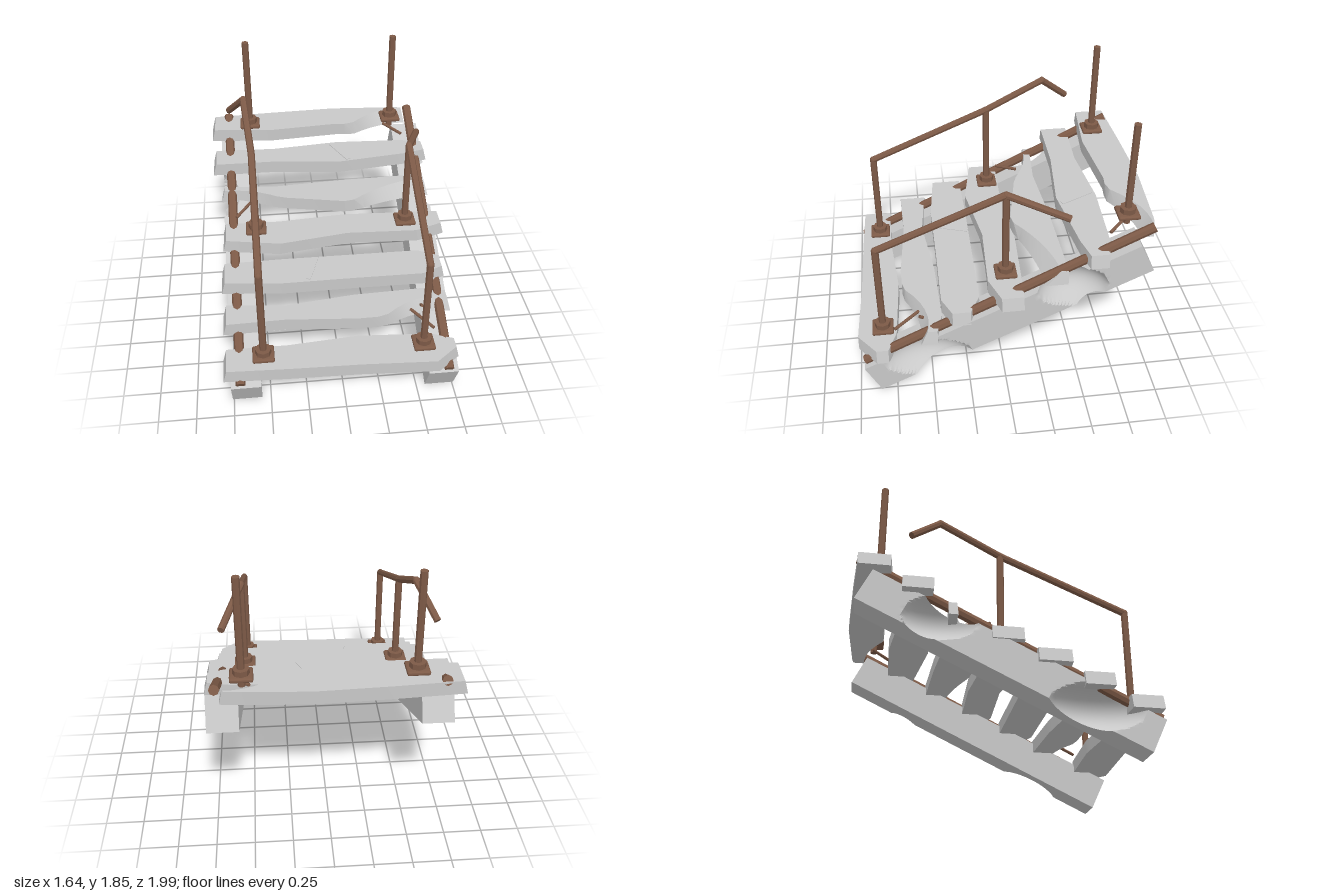
import * as THREE from 'three';
import { toCreasedNormals } from 'three/addons/utils/BufferGeometryUtils.js';
import { RoundedBoxGeometry } from 'three/addons/geometries/RoundedBoxGeometry.js';

const concrete = new THREE.MeshStandardMaterial({ color: 0xc8c8c8 });
concrete.name = 'concrete';
const rust = new THREE.MeshStandardMaterial({ color: 0x7d5a47 });
rust.name = 'rust';

function add(parent, name, geometry, material, crease = 0.5) {
  const mesh = new THREE.Mesh(toCreasedNormals(geometry, crease), material);
  mesh.name = name;
  parent.add(mesh);
  return mesh;
}

// Eight-sided bar between two points
function bar(parent, name, a, b, radius) {
  const from = new THREE.Vector3(...a);
  const to = new THREE.Vector3(...b);
  const dir = to.clone().sub(from);
  const mesh = add(parent, name, new THREE.CylinderGeometry(radius, radius, dir.length(), 8), rust);
  mesh.position.copy(from).add(to).multiplyScalar(0.5);
  mesh.quaternion.setFromUnitVectors(new THREE.Vector3(0, 1, 0), dir.normalize());
}

// Treads, lowest first: end positions, and edge offsets at five stations across
const treads = [
  { left: -0.78, right: 0.75, back: [0.1, 0.1, 0.14, 0.11, 0.05], front: [0.1, 0.115, 0.125, 0.15, 0.03] },
  { left: -0.77, right: 0.75, back: [0.1, 0.06, 0.12, 0.14, 0.1], front: [0.09, 0.08, 0.12, 0.11, 0.08] },
  { left: -0.77, right: 0.74, back: [0.1, 0.11, 0.11, 0.11, 0.04], front: [0.11, 0.15, 0.145, 0.145, 0.08] },
  { left: -0.75, right: 0.79, back: [0.1, 0.09, 0.13, 0.11, 0.1], front: [0.1, 0.17, 0.095, 0.115, 0.045] },
  { left: -0.75, right: 0.73, back: [0.09, 0.06, 0.095, 0.11, 0.11], front: [0.05, 0.08, 0.18, 0.1, 0.05] },
  { left: -0.8, right: 0.76, back: [0.1, 0.085, 0.135, 0.115, 0.08], front: [0.095, 0.095, 0.145, 0.08, 0.04] },
  { left: -0.8, right: 0.65, back: [0.095, 0.12, 0.14, 0.11, 0.1], front: [0.108, 0.148, 0.105, 0.16, 0.14] },
];

// Curved pieces broken from the front edges; foot is how much of the cut reaches the underside
const breaks = [
  { tread: 1, x: 0.65, z: 0.68, width: 0.36, depth: 0.17, foot: 0.7 },
  { tread: 4, x: -0.72, z: -0.16, width: 0.44, depth: 0.17, foot: 0.95 },
  { tread: 4, x: 0.8, z: -0.11, width: 0.64, depth: 0.25, foot: 0.6 },
  { tread: 6, x: 0.62, z: -0.71, width: 0.42, depth: 0.24, foot: 0.7 },
];

function addTread(parent, { left, right, back, front }, index) {
  const stations = [left, -0.37, 0.11, 0.6, right];
  const centre = 0.84 - 0.283 * index;
  const height = 0.092;
  const steps = 7;
  const backEdge = [], frontEdge = [], footDepth = new Map();
  for (let i = 0; i <= 4 * steps; i++) {
    const s = Math.min(Math.floor(i / steps), 3);
    const t = i / steps - s;
    const x = THREE.MathUtils.lerp(stations[s], stations[s + 1], t);
    const zBack = centre - THREE.MathUtils.lerp(back[s], back[s + 1], t);
    let z = centre + THREE.MathUtils.lerp(front[s], front[s + 1], t);
    let zFoot = z;
    for (const b of breaks) {
      const cut = b.depth * (1 - ((x - b.x) / b.width) ** 2);
      if (b.tread !== index || cut <= 0) continue;
      z = Math.min(z, b.z - cut);
      zFoot = Math.min(zFoot, b.z - cut * b.foot);
    }
    z = Math.max(z, zBack + 0.012);
    zFoot = Math.max(zFoot, zBack + 0.012);
    backEdge.push(new THREE.Vector2(x, -zBack));
    frontEdge.unshift(new THREE.Vector2(x, -z));
    footDepth.set(Math.fround(x) + ',' + Math.fround(-z), zFoot);
  }
  const shape = new THREE.Shape([...backEdge, ...frontEdge]);
  const geo = new THREE.ExtrudeGeometry(shape, { depth: height, bevelEnabled: false });
  // Slant the ends and the broken faces toward the underside
  const pos = geo.attributes.position;
  for (let i = 0; i < pos.count; i++) {
    if (pos.getZ(i) > height / 2) continue;
    const foot = footDepth.get(pos.getX(i) + ',' + pos.getY(i));
    if (foot !== undefined) pos.setY(i, -foot);
    pos.setX(i, pos.getX(i) * 1.03);
  }
  geo.rotateX(-Math.PI / 2);
  geo.translate(0, 0.265 + 0.137 * index, 0);
  add(parent, 'tread' + (index + 1), geo, concrete, 0.3);
}

// Shallow crack lying on a tread
function crack(parent, x, y, z, length, angle) {
  const mesh = add(parent, 'crack', new THREE.BoxGeometry(0.034, 0.008, length), concrete);
  mesh.position.set(x, y, z);
  mesh.rotation.y = angle;
}

// Sloping side beam with two hollows broken out of its outer face
const hollows = [
  { z: 0.53, y: 0.27, rz: 0.3, ry: 0.155 },
  { z: -0.43, y: 0.79, rz: 0.235, ry: 0.15 },
];
function sideBeam(parent, side) {
  const geo = new THREE.BoxGeometry(0.2, 0.233, 2.015, 1, 18, 110);
  geo.rotateX(Math.atan(0.4835));
  geo.translate(0, 0.545, 0);
  const pos = geo.attributes.position;
  for (let i = 0; i < pos.count; i++) {
    if (pos.getX(i) * side < 0) continue;
    let depth = 0;
    for (const h of hollows) {
      const q = ((pos.getZ(i) - h.z) / h.rz) ** 2 + ((pos.getY(i) - h.y) / h.ry) ** 2;
      if (q < 1) depth = 0.15 * (1 - q) ** 0.75;
    }
    pos.setX(i, pos.getX(i) - side * depth);
  }
  geo.translate(0.66 * side, 0, 0);
  add(parent, side > 0 ? 'leftSideBeam' : 'rightSideBeam', geo, concrete, 0.6);
}

// Posts: [z, tread top, post top]
const posts = [[0.82, 0.357, 1.04], [-0.02, 0.768, 1.4], [-0.81, 1.177, 1.85]];

function post(parent, x, z, y, top) {
  const group = new THREE.Group();
  group.name = 'post';
  parent.add(group);
  add(group, 'basePlate', new RoundedBoxGeometry(0.145, 0.028, 0.145, 2, 0.012), rust).position.set(x, y + 0.014, z);
  add(group, 'baseCollar', new THREE.CylinderGeometry(0.053, 0.053, 0.04, 8), rust).position.set(x, y + 0.045, z);
  bar(group, 'postBar', [x, y - 0.06, z], [x, top, z], 0.024);
}

// Chain of bars joined by small balls
function rail(parent, name, points) {
  const group = new THREE.Group();
  group.name = name;
  parent.add(group);
  for (let i = 1; i < points.length; i++) {
    bar(group, 'railBar', points[i - 1], points[i], 0.024);
    add(group, 'railJoint', new THREE.SphereGeometry(0.025, 8, 6), rust, 1).position.set(...points[i - 1]);
  }
}

export function createModel() {
  const model = new THREE.Group();
  model.name = 'brokenStaircase';

  treads.forEach((tread, i) => addTread(model, tread, i));
  crack(model, -0.163, 0.631, 0.285, 0.24, -0.315);
  crack(model, 0.125, 1.042, -0.57, 0.25, 0.443);

  // Side beams, reinforcing bars and posts on both sides
  for (const side of [1, -1]) {
    sideBeam(model, side);
    bar(model, 'reinforcingBar', [0.695 * side, 0.235, 0.95], [0.695 * side, 1.185, -0.95], 0.033);
    for (const [z, y, top] of posts) post(model, 0.535 * side, z, y, top);
  }

  // Bent handrails
  rail(model, 'rightHandrail', [[-0.535, 1.04, 0.82], [-0.535, 1.4, -0.02], [-0.57, 1.595, -0.43], [-0.68, 1.41, -0.625]]);
  rail(model, 'leftHandrail', [[0.535, 1.04, 0.82], [0.535, 1.4, -0.02], [0.665, 1.275, -0.41]]);

  // Thin bars exposed where the treads have broken away
  const stubs = [
    [[0.49, 0.445, 0.57], [0.62, 0.42, 0.74]],
    [[0.56, 0.43, 0.5], [0.57, 0.47, 0.57]],
    [[-0.56, 0.85, -0.25], [-0.67, 0.82, -0.11]],
    [[0.49, 1.125, -0.82], [0.61, 1.1, -0.69]],
    [[0.56, 0.9, -0.38], [0.58, 0.82, -0.38]],
  ];
  for (const [a, b] of stubs) bar(model, 'exposedBar', a, b, 0.011);

  return model;
}
